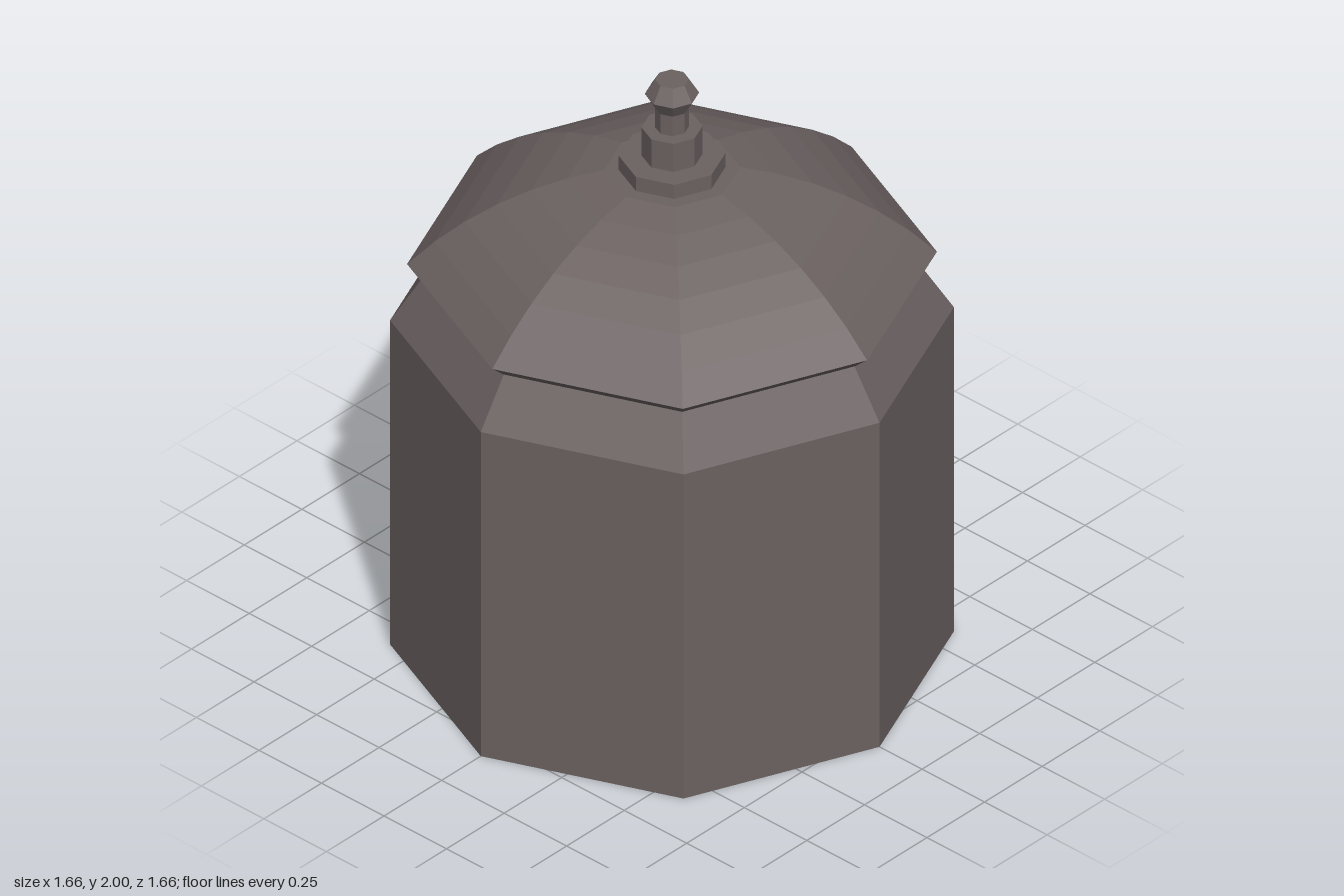
import * as THREE from 'three';

const SIDES = 8;

export function createModel() {
  const group = new THREE.Group();
  const material = new THREE.MeshStandardMaterial({ color: 0x6b6161, flatShading: true });

  // Eight-sided turned part from a profile of [radius, y], listed bottom to top
  const turned = (name, profile) => {
    const points = profile.map(([r, y]) => new THREE.Vector2(r, y));
    const geometry = new THREE.LatheGeometry(points, SIDES).toNonIndexed();
    geometry.computeVertexNormals();
    const mesh = new THREE.Mesh(geometry, material);
    mesh.name = name;
    group.add(mesh);
  };

  // Straight-walled jar with a sloping shoulder
  turned('jarBody', [[0, 0], [0.83, 0], [0.83, 1.16], [0.73, 1.315], [0, 1.315]]);

  // Domed lid: undercut rim, then a spherical cap with a flat top
  const centreY = 0.632;
  const radius = Math.hypot(0.78, 1.36 - centreY);
  const start = Math.asin(0.78 / radius);
  const end = Math.asin(0.2 / radius);
  const dome = [];
  for (let i = 0; i <= 6; i++) {
    const a = start + (end - start) * i / 6;
    dome.push([radius * Math.sin(a), centreY + radius * Math.cos(a)]);
  }
  turned('lid', [[0, 1.315], [0.73, 1.315], ...dome, [0, 1.68]]);

  // Stepped handle base
  turned('handleFlange', [[0, 1.67], [0.157, 1.67], [0.157, 1.73], [0, 1.73]]);
  turned('handleCollar', [[0, 1.73], [0.09, 1.73], [0.09, 1.83], [0, 1.83]]);

  // Stem swelling into a knob
  turned('handleKnob', [
    [0, 1.83], [0.05, 1.83], [0.05, 1.9], [0.08, 1.95], [0.05, 2], [0, 2],
  ]);

  return group;
}
